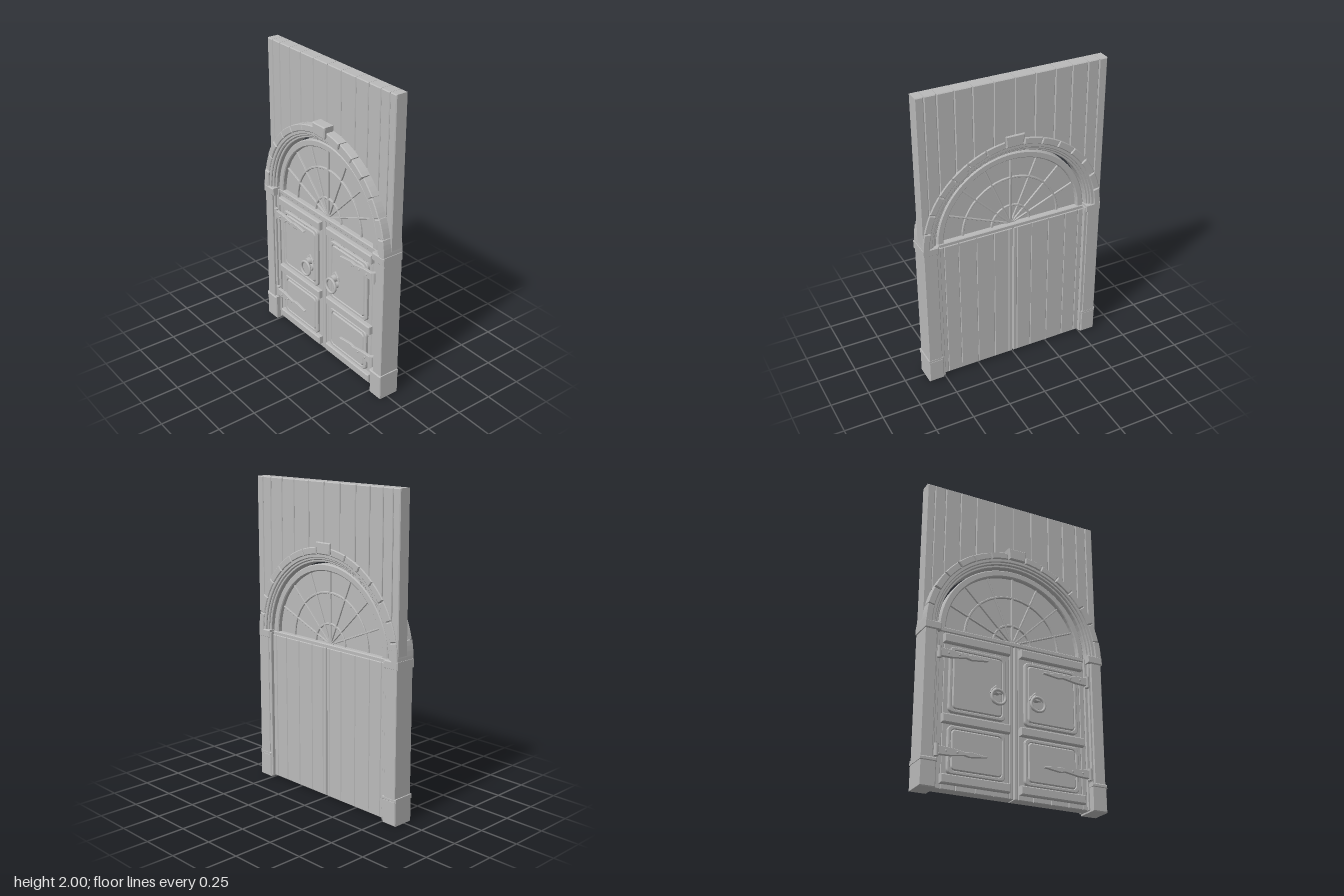
import * as THREE from 'three';

const stone = new THREE.MeshStandardMaterial({ color: 0xbababa });
stone.name = 'plain grey';

export function createModel() {
  const model = new THREE.Group();
  model.name = 'archedDoor';
  const CY = 1.0; // height of the arch centre

  const add = (name, geo, parent = model) => {
    const m = new THREE.Mesh(geo, stone);
    m.name = name;
    parent.add(m);
    return m;
  };

  // Plate of a given outline between two depths, with chamfered edges
  function slab(name, shape, z0, z1, bevel = 0, parent = model, curveSegments = 4) {
    const geo = new THREE.ExtrudeGeometry(shape, {
      depth: z1 - z0 - 2 * bevel, bevelEnabled: bevel > 0, bevelThickness: bevel,
      bevelSize: bevel, bevelOffset: -bevel, bevelSegments: 1, curveSegments,
    });
    geo.translate(0, 0, z0 + bevel);
    return add(name, geo, parent);
  }

  const poly = (pts) => new THREE.Shape(pts.map(([x, y]) => new THREE.Vector2(x, y)));
  const rect = (x0, y0, x1, y1) => poly([[x0, y0], [x1, y0], [x1, y1], [x0, y1]]);

  function roundRect(x0, y0, x1, y1, r) {
    const s = new THREE.Shape();
    s.absarc(x1 - r, y0 + r, r, -Math.PI / 2, 0);
    s.absarc(x1 - r, y1 - r, r, 0, Math.PI / 2);
    s.absarc(x0 + r, y1 - r, r, Math.PI / 2, Math.PI);
    s.absarc(x0 + r, y0 + r, r, Math.PI, Math.PI * 1.5);
    s.closePath();
    return s;
  }

  // Part of a ring around the arch centre
  function sector(r0, r1, a0, a1, steps) {
    const pts = [];
    for (let i = 0; i <= steps; i++) {
      const a = a0 + (a1 - a0) * i / steps;
      pts.push([r1 * Math.cos(a), CY + r1 * Math.sin(a)]);
    }
    for (let i = steps; i >= 0; i--) {
      const a = a0 + (a1 - a0) * i / steps;
      pts.push([r0 * Math.cos(a), CY + r0 * Math.sin(a)]);
    }
    return poly(pts);
  }
  const halfRing = (name, r0, r1, z0, z1, bevel = 0) =>
    slab(name, sector(r0, r1, 0, Math.PI, 40), z0, z1, bevel);

  // Wall planks above the arch, their lower ends cut to the curve
  const seams = [0, 0.133, 0.263, 0.375, 0.48, 0.555, 0.61];
  const R = 0.585;
  for (const s of [-1, 1]) {
    for (let i = 0; i < seams.length - 1; i++) {
      const a = seams[i] + 0.001, b = seams[i + 1] - 0.001;
      const pts = [[s * b, 2], [s * a, 2]];
      for (let k = 0; k <= 6; k++) {
        const x = a + (b - a) * k / 6;
        pts.push([s * x, CY + Math.sqrt(Math.max(R * R - x * x, 0.0016))]);
      }
      slab('wallPlank', poly(pts), -0.078, 0.004, 0.005);
    }
  }

  // Arch stones and keystone
  const step = THREE.MathUtils.degToRad(84 / 7);
  for (const s of [-1, 1]) {
    for (let i = 0; i < 7; i++) {
      const a0 = i * step + 0.004, a1 = (i + 1) * step - 0.004;
      const shape = s > 0 ? sector(0.565, 0.61, a0, a1, 4)
        : sector(0.565, 0.61, Math.PI - a1, Math.PI - a0, 4);
      slab('archStone', shape, -0.086, i % 2 ? 0.058 : 0.062, 0.005);
    }
  }
  slab('keystone', poly([[-0.055, 1.565], [0.055, 1.565], [0.063, 1.64], [-0.063, 1.64]]), -0.088, 0.07, 0.006);

  // Stepped arch mouldings
  halfRing('archBacking', 0.545, 0.575, -0.08, 0.052, 0.004);
  halfRing('archOuterMoulding', 0.53, 0.55, -0.07, 0.042, 0.005);
  halfRing('archInnerMoulding', 0.516, 0.535, -0.06, 0.028, 0.004);

  // Fan window: frame, pane, spokes and hoops
  halfRing('fanFrame', 0.46, 0.503, -0.05, 0.018, 0.006);
  slab('fanPane', sector(0.001, 0.465, 0, Math.PI, 40), -0.02, -0.012);
  for (const r of [0.13, 0.325]) halfRing('fanHoop', r - 0.007, r + 0.007, -0.03, 0.0, 0.003);
  for (let i = 1; i < 8; i++) {
    const w = i === 4 ? 0.007 : 0.005;
    const spoke = slab('fanSpoke', rect(0, -w, 0.465, w), -0.03, 0.0, 0.002);
    spoke.position.y = CY;
    spoke.rotation.z = i * Math.PI / 8;
  }
  slab('transom', rect(-0.503, 0.978, 0.503, 1.008), -0.055, 0.02, 0.005);

  // Pillars with jambs, bases and caps
  const sides = [-1, 1];
  const box = (name, s, x0, x1, y0, y1, z0, z1, bevel, parent) =>
    slab(name, rect(Math.min(s * x0, s * x1), y0, Math.max(s * x0, s * x1), y1), z0, z1, bevel, parent);
  for (const s of sides) {
    const pillar = new THREE.Group();
    pillar.name = s > 0 ? 'leftPillar' : 'rightPillar';
    model.add(pillar);
    box('pillarShaft', s, 0.532, 0.608, 0.01, 1.0, -0.085, 0.055, 0.004, pillar);
    box('pillarStep', s, 0.518, 0.54, 0.01, 1.0, -0.085, 0.042, 0.004, pillar);
    box('pillarJamb', s, 0.498, 0.525, 0.01, 1.0, -0.08, 0.026, 0.003, pillar);
    box('pillarBase', s, 0.51, 0.612, 0, 0.158, -0.086, 0.06, 0.006, pillar);
    box('pillarBaseBand', s, 0.507, 0.616, 0.148, 0.174, -0.086, 0.064, 0.006, pillar);
    box('pillarCap', s, 0.507, 0.614, 0.962, 1.014, -0.086, 0.064, 0.006, pillar);
  }

  // Door leaves
  const cuts = [0.004, 0.03, 0.13, 0.25, 0.37, 0.465, 0.5];
  for (const s of sides) {
    const leaf = new THREE.Group();
    leaf.name = s > 0 ? 'leftLeaf' : 'rightLeaf';
    model.add(leaf);
    for (let i = 0; i < cuts.length - 1; i++) {
      box('doorPlank', s, cuts[i], cuts[i + 1], 0.01, 0.985, -0.06, 0.014, 0.004, leaf);
    }
    for (const [y0, y1] of [[0.04, 0.095], [0.4, 0.455], [0.905, 0.962]]) {
      box('doorRail', s, 0.035, 0.475, y0, y1, 0.0, 0.044, 0.006, leaf);
    }

    // Raised panels with a rounded border
    for (const [y0, y1] of [[0.1, 0.39], [0.47, 0.885]]) {
      const xa = s > 0 ? 0.065 : -0.435, xb = xa + 0.37;
      const border = roundRect(xa, y0, xb, y1, 0.03);
      border.holes.push(roundRect(xa + 0.022, y0 + 0.022, xb - 0.022, y1 - 0.022, 0.025));
      slab('panelBorder', border, 0.0, 0.034, 0.005, leaf);
      slab('panelField', roundRect(xa + 0.018, y0 + 0.018, xb - 0.018, y1 - 0.018, 0.03), 0.0, 0.036, 0.012, leaf);
    }

    // Strap hinges with spear tips
    for (const y of [0.225, 0.83]) {
      const half = [[0.5, 0.027], [0.42, 0.024], [0.33, 0.01], [0.3, 0.017], [0.25, 0.011], [0.19, 0.003]];
      const pts = half.map(([x, h]) => [s * x, y + h])
        .concat(half.slice().reverse().map(([x, h]) => [s * x, y - h]));
      slab('hingeStrap', poly(pts), 0.03, 0.052, 0.003, leaf);
      add('hingeKnuckle', new THREE.CylinderGeometry(0.014, 0.014, 0.074, 12), leaf)
        .position.set(s * 0.507, y, 0.042);
      for (const x of [0.45, 0.38]) {
        const rivet = add('hingeRivet', new THREE.SphereGeometry(0.007, 8, 6), leaf);
        rivet.position.set(s * x, y, 0.052);
      }
    }

    // Ring handle on a pointed mount
    const handle = new THREE.Group();
    handle.name = 'ringHandle';
    handle.position.set(s * 0.133, 0.6, 0);
    leaf.add(handle);
    slab('handleMount', poly([[-0.04, 0.035], [0.04, 0.035], [0.032, 0.06], [0, 0.092], [-0.032, 0.06]]), 0.03, 0.046, 0.004, handle);
    const boss = add('handleBoss', new THREE.CylinderGeometry(0.02, 0.026, 0.034, 12), handle);
    boss.rotation.x = Math.PI / 2;
    boss.position.set(0, 0.045, 0.055);
    const plate = add('strikePlate', new THREE.CylinderGeometry(0.026, 0.032, 0.012, 16), handle);
    plate.rotation.x = Math.PI / 2;
    plate.position.set(0, 0, 0.04);
    const ring = add('handleRing', new THREE.TorusGeometry(0.046, 0.009, 10, 32), handle);
    ring.position.z = 0.077;
    ring.rotation.x = -0.06;
  }
  return model;
}
